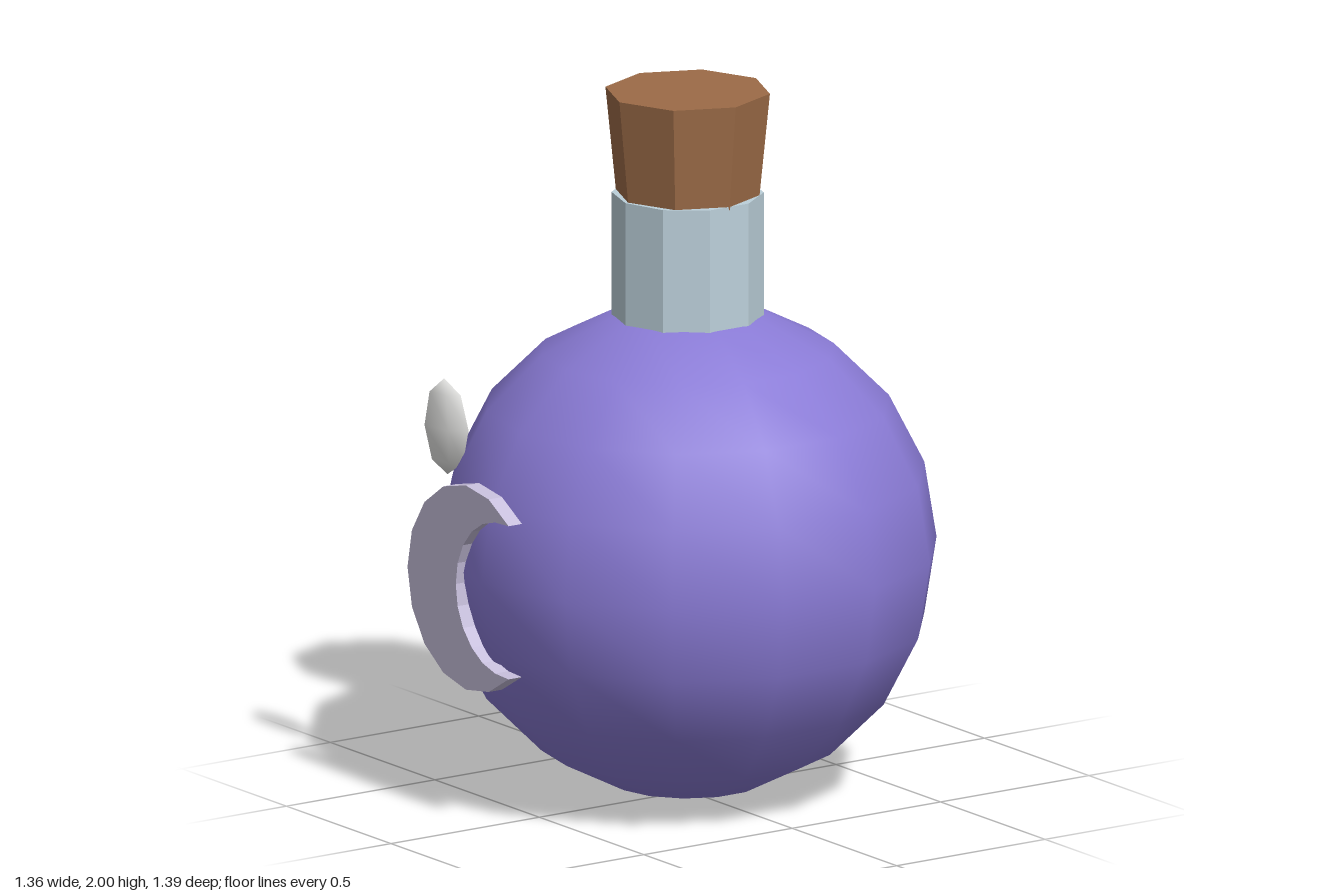
import * as THREE from 'three';

const mat = (name, color, flatShading = false) => {
  const m = new THREE.MeshStandardMaterial({ color, flatShading });
  m.name = name;
  return m;
};

export function createModel() {
  const group = new THREE.Group();
  const add = (name, geometry, material, x, y, z) => {
    const mesh = new THREE.Mesh(geometry, material);
    mesh.name = name;
    mesh.position.set(x, y, z);
    group.add(mesh);
    return mesh;
  };

  const purple = mat('purple potion', 0x8a7bd6);
  const glass = mat('pale blue glass', 0xbcd0da, true);
  const cork = mat('brown cork', 0x9c6b47, true);
  const lilac = mat('pale lilac', 0xc6bedb);
  const white = mat('white', 0xf4f4f2);

  // Round bottle body, smooth with a 14-sided outline
  add('body', new THREE.SphereGeometry(0.695, 14, 10).rotateY(Math.PI / 2), purple, 0, 0.7, 0);

  // Faceted neck, sunk a little into the body
  add('neck', new THREE.CylinderGeometry(0.21, 0.21, 0.39, 10), glass, 0, 1.515, 0);

  // Tapered octagonal stopper, pushed into the neck
  add('stopper', new THREE.CylinderGeometry(0.23, 0.196, 0.34, 8), cork, 0, 1.83, 0);

  // Crescent plate: outer arc counter-clockwise, inner arc back
  const tip = new THREE.Vector2(0.12, 0.215);
  const arc = (cx, r, n) => {
    const a = Math.atan2(tip.y, tip.x - cx);
    return Array.from({ length: n + 1 }, (_, i) => {
      const t = a + (2 * Math.PI - 2 * a) * i / n;
      return new THREE.Vector2(cx + r * Math.cos(t), r * Math.sin(t));
    });
  };
  const outer = arc(-0.07, Math.hypot(0.19, tip.y) + 0.004, 12);
  const inner = arc(0.087, 0.217, 12).reverse().slice(1, -1);
  const moon = new THREE.ExtrudeGeometry(new THREE.Shape([...outer, ...inner]),
    { depth: 0.045, bevelEnabled: false });
  add('moonEmblem', moon, lilac, 0, 0.67, 0.645);

  // Flattened oval glint on the shoulder
  const glint = new THREE.SphereGeometry(1, 5, 4).rotateY(-Math.PI / 2).scale(0.097, 0.135, 0.039);
  add('glint', glint, white, -0.378, 1.045, 0.549).rotation.z = 0.06;

  return group;
}
